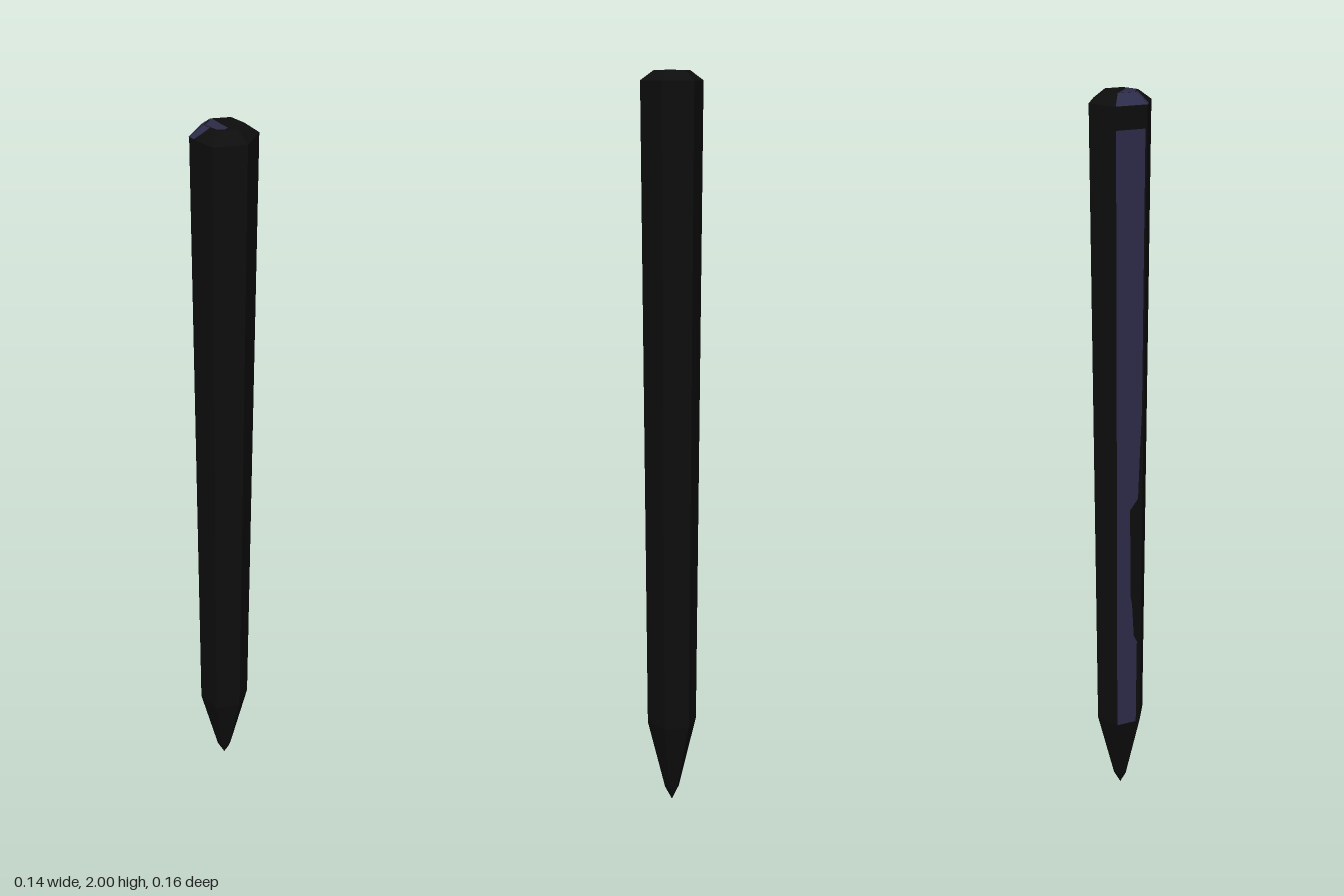
import * as THREE from 'three';

export function createModel() {
  const group = new THREE.Group();
  const black = new THREE.MeshStandardMaterial({ color: 0x0d0d0d, flatShading: true });
  black.name = 'black';
  const navy = new THREE.MeshStandardMaterial({ color: 0x2c2b49, flatShading: true });
  navy.name = 'navy';

  const add = (name, geometry, material) => {
    const mesh = new THREE.Mesh(geometry, material);
    mesh.name = name;
    group.add(mesh);
    return mesh;
  };

  // Six-sided sections stacked along the axis: name, y and radius at both ends
  const sections = [
    ['tip', 0, 0, 0.04, 0.02],
    ['taperedPoint', 0.04, 0.02, 0.245, 0.069],
    ['shaft', 0.245, 0.069, 1.975, 0.081],
    ['capBevel', 1.975, 0.081, 2, 0.046],
  ];
  sections.forEach(([name, y0, r0, y1, r1], i) => {
    const open = i < sections.length - 1; // only the last one has a flat end
    const geometry = new THREE.CylinderGeometry(r1, r0, y1 - y0, 6, 1, open);
    geometry.translate(0, (y0 + y1) / 2, 0);
    add(name, geometry, black);
  });

  // Flat panel on one side of a section; u runs across the side, y up it
  const lift = 0.001;
  function sidePanel(name, [, y0, r0, y1, r1], side, points) {
    const geometry = new THREE.ShapeGeometry(new THREE.Shape(points.map(p => new THREE.Vector2(...p))));
    const a = side * Math.PI / 3, b = a + Math.PI / 3;
    const pos = geometry.attributes.position;
    for (let i = 0; i < pos.count; i++) {
      const u = pos.getX(i), y = pos.getY(i);
      const r = THREE.MathUtils.mapLinear(y, y0, y1, r0, r1) + lift;
      pos.setXYZ(i,
        r * THREE.MathUtils.lerp(Math.sin(a), Math.sin(b), u),
        y + (y0 > 1.9 ? lift : 0),
        r * THREE.MathUtils.lerp(Math.cos(a), Math.cos(b), u));
    }
    geometry.computeVertexNormals();
    add(name, geometry, navy);
  }

  // Long coloured side with a worn notch
  sidePanel('shaftPanel', sections[2], 3, [
    [0.01, 0.245], [0.82, 0.245], [0.83, 0.51], [0.7, 0.53], [0.62, 0.63], [0.55, 0.66],
    [0.52, 0.92], [0.82, 0.95], [0.88, 1.1], [0.93, 1.2], [0.93, 1.92], [0.01, 1.92],
  ]);

  // Coloured bevel faces of the cap
  sidePanel('bevelPanel', sections[3], 3, [[0, 1.975], [1, 1.975], [1, 2], [0, 2]]);
  sidePanel('bevelCorner', sections[3], 4, [[0, 1.975], [0.22, 1.975], [0.3, 1.985], [0.45, 2], [0, 2]]);

  // Coloured patch on the flat top, as x and -z
  const patch = new THREE.Shape([
    [-0.039, 0.022], [-0.036, -0.018], [-0.024, -0.027], [-0.01, -0.024],
    [-0.007, 0.005], [-0.003, 0.03], [0, 0.045],
  ].map(p => new THREE.Vector2(...p)));
  add('topPatch', new THREE.ShapeGeometry(patch).rotateX(-Math.PI / 2).translate(0, 2 + lift, 0), navy);

  return group;
}
